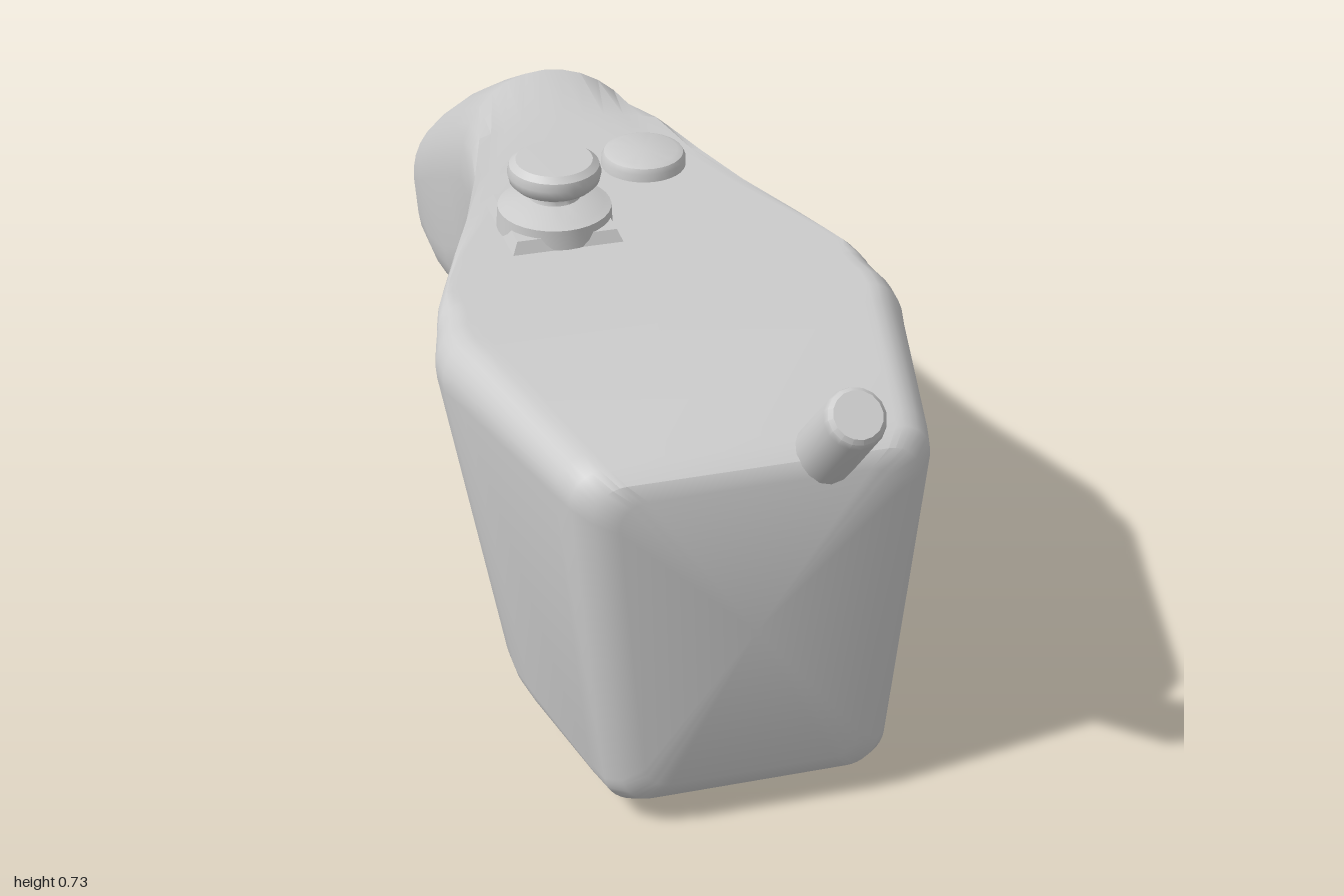
import * as THREE from 'three';
import { toCreasedNormals } from 'three/addons/utils/BufferGeometryUtils.js';

const material = new THREE.MeshStandardMaterial({ color: 0xcccccc, side: THREE.DoubleSide });

function add(group, name, geometry, x = 0, y = 0, z = 0) {
  const mesh = new THREE.Mesh(geometry, material);
  mesh.name = name;
  mesh.position.set(x, y, z);
  group.add(mesh);
  return mesh;
}

// Cross-sections: [zTop, yTop, zBottom, yBottom, half width top, half width bottom, rounding top, rounding bottom]
// Front block, from the front face to the rear wall
const block = [
  [0.878, 0.56, 0.88, 0.08, 0.2, 0.155],
  [0.868, 0.583, 0.87, 0.053, 0.235, 0.185],
  [0.84, 0.598, 0.845, 0.037, 0.26, 0.203],
  [0.8, 0.6, 0.8, 0.033, 0.272, 0.213],
  [0.51, 0.6, 0.63, 0.03, 0.344, 0.25],
  [0.46, 0.6, 0.59, 0.036, 0.358, 0.26],
  [0.42, 0.6, 0.565, 0.055, 0.36, 0.266],
  [0.385, 0.6, 0.548, 0.09, 0.352, 0.268],
].map((s) => [...s, 0.22, 0.22]);

// Rear wall rising into the arched neck
const neck = [
  [0.36, 0.6, 0.505, 0.28, 0.343, 0.295, 0.2, 0.18],
  [0.35, 0.6, 0.475, 0.4, 0.338, 0.315, 0.18, 0.18],
  [0.335, 0.6, 0.445, 0.45, 0.333, 0.32, 0.17, 0.2],
  [0.315, 0.6, 0.395, 0.48, 0.328, 0.31, 0.16, 0.3],
  [0.28, 0.6, 0.325, 0.465, 0.315, 0.28, 0.16, 0.5],
  [0.2, 0.605, 0.25, 0.425, 0.285, 0.235, 0.2, 0.8],
  [0.08, 0.63, 0.14, 0.355, 0.24, 0.195, 0.4, 1],
  [-0.05, 0.69, 0.06, 0.315, 0.2, 0.175, 0.8, 1],
];

// Grip: [zTop, yTop, zBottom, yBottom, half width], fully rounded
const grip = [
  [-0.18, 0.675, 0, 0.298, 0.175],
  [-0.31, 0.613, -0.09, 0.265, 0.16],
  [-0.45, 0.535, -0.22, 0.18, 0.151],
  [-0.6, 0.447, -0.36, 0.108, 0.144],
  [-0.75, 0.35, -0.55, 0.048, 0.134],
  [-0.87, 0.268, -0.72, 0.013, 0.118],
  [-0.945, 0.21, -0.84, 0.004, 0.099],
  [-0.982, 0.165, -0.92, 0.02, 0.075],
  [-0.997, 0.125, -0.97, 0.055, 0.042],
].map((s) => [...s, s[4], 1, 1]);

// Flat control deck that trims the top of the body
const deckHeight = (z) => 0.588 + 0.012 * THREE.MathUtils.clamp(z / 0.8, 0, 1) + 0.23 * Math.max(0, -z - 0.2);

function sectionPoints([zt, yt, zb, yb, wt, wb, kt, kb]) {
  const points = [], steps = 8;
  const height = Math.hypot(yt - yb, zt - zb);
  for (let corner = 0; corner < 4; corner++) {
    const top = corner < 2, right = corner === 0 || corner === 3;
    const k = top ? kt : kb;
    const rv = Math.min(0.5, k * (top ? wt : wb) / height);
    for (let i = 0; i <= steps; i++) {
      const angle = (corner + i / steps) * Math.PI / 2;
      const u = (right ? 1 - k : k - 1) + k * Math.cos(angle);
      const v = (top ? 1 - rv : rv) + rv * Math.sin(angle);
      const z = zb + (zt - zb) * v;
      const y = Math.min(yb + (yt - yb) * v, deckHeight(z));
      points.push([u * (wb + (wt - wb) * v), y, z]);
    }
  }
  return points;
}

function loft(sections) {
  const rings = sections.map(sectionPoints), n = rings[0].length;
  const position = rings.flat(2), index = [];
  for (let r = 0; r < rings.length - 1; r++) {
    for (let j = 0; j < n; j++) {
      const a = r * n + j, b = r * n + (j + 1) % n;
      index.push(a, a + n, b, b, a + n, b + n);
    }
  }
  // End caps
  for (const r of [0, rings.length - 1]) {
    const s = sections[r], centre = position.length / 3;
    position.push(0, (s[1] + s[3]) / 2, (s[0] + s[2]) / 2 - (r ? 0.008 : 0));
    for (let j = 0; j < n; j++) {
      const a = r * n + j, b = r * n + (j + 1) % n;
      index.push(centre, r ? b : a, r ? a : b);
    }
  }
  const geometry = new THREE.BufferGeometry();
  geometry.setAttribute('position', new THREE.Float32BufferAttribute(position, 3));
  geometry.setIndex(index);
  return toCreasedNormals(geometry, 0.65);
}

function lathe(profile, sides) {
  const points = profile.map(([r, y]) => new THREE.Vector2(r, y));
  return toCreasedNormals(new THREE.LatheGeometry(points, sides), 0.6);
}

// Extrudes a smooth side outline, given as z, y, across x
function sidePlate(front, back, width) {
  const shape = new THREE.Shape();
  shape.moveTo(...front[0]);
  shape.splineThru(front.slice(1).map((p) => new THREE.Vector2(...p)));
  shape.lineTo(...back[0]);
  shape.splineThru(back.slice(1).map((p) => new THREE.Vector2(...p)));
  const bevel = 0.015;
  const geometry = new THREE.ExtrudeGeometry(shape, {
    depth: width - 2 * bevel, bevelThickness: bevel, bevelSize: bevel, bevelOffset: -bevel,
    bevelSegments: 3, curveSegments: 12,
  });
  geometry.translate(0, 0, bevel - width / 2).rotateY(-Math.PI / 2);
  return toCreasedNormals(geometry, 0.6);
}

export function createModel() {
  const model = new THREE.Group();
  model.name = 'handController';

  add(model, 'body', loft([...block, ...neck, ...grip]));

  // Thumb stick on a raised square mound
  const stick = new THREE.Group();
  stick.name = 'thumbStick';
  stick.position.set(-0.1, 0, 0.155);
  const mound = new THREE.CylinderGeometry(0.085 * Math.SQRT2, 0.105 * Math.SQRT2, 0.04, 4, 1);
  mound.rotateY(Math.PI / 4);
  add(stick, 'stickMound', toCreasedNormals(mound, 0.3), 0, 0.59, 0).scale.set(0.9, 1, 0.9);
  add(stick, 'stickCollar', lathe([[0.088, 0.59], [0.086, 0.623], [0.075, 0.627], [0.042, 0.64], [0, 0.64]], 32));
  add(stick, 'stickCap', lathe([
    [0.042, 0.635], [0.038, 0.645], [0.039, 0.654], [0.06, 0.659], [0.068, 0.667],
    [0.071, 0.68], [0.068, 0.692], [0.058, 0.7], [0, 0.701],
  ], 32));
  model.add(stick);

  // Round push button
  add(model, 'button', lathe([[0.066, 0.57], [0.066, 0.602], [0.062, 0.61], [0.053, 0.614], [0, 0.614]], 32), 0.083, 0, 0);

  // Stub antenna leaning forward
  const antenna = add(model, 'antenna', lathe([
    [0, 0], [0.045, 0], [0.043, 0.2], [0.04, 0.212], [0.034, 0.218], [0, 0.218],
  ], 16), 0.1, 0.55, 0.822);
  antenna.rotation.x = 0.74;

  // Curved trigger and the housing behind it
  add(model, 'trigger', sidePlate(
    [[0.375, 0.485], [0.335, 0.4], [0.302, 0.32], [0.277, 0.225]],
    [[0.21, 0.245], [0.175, 0.29], [0.185, 0.36], [0.24, 0.45]], 0.16));
  add(model, 'triggerHousing', sidePlate(
    [[0.25, 0.46], [0.185, 0.38], [0.175, 0.3], [0.157, 0.24]],
    [[0.09, 0.272], [0.03, 0.3], [0, 0.34], [0.1, 0.44]], 0.15));

  return model;
}
